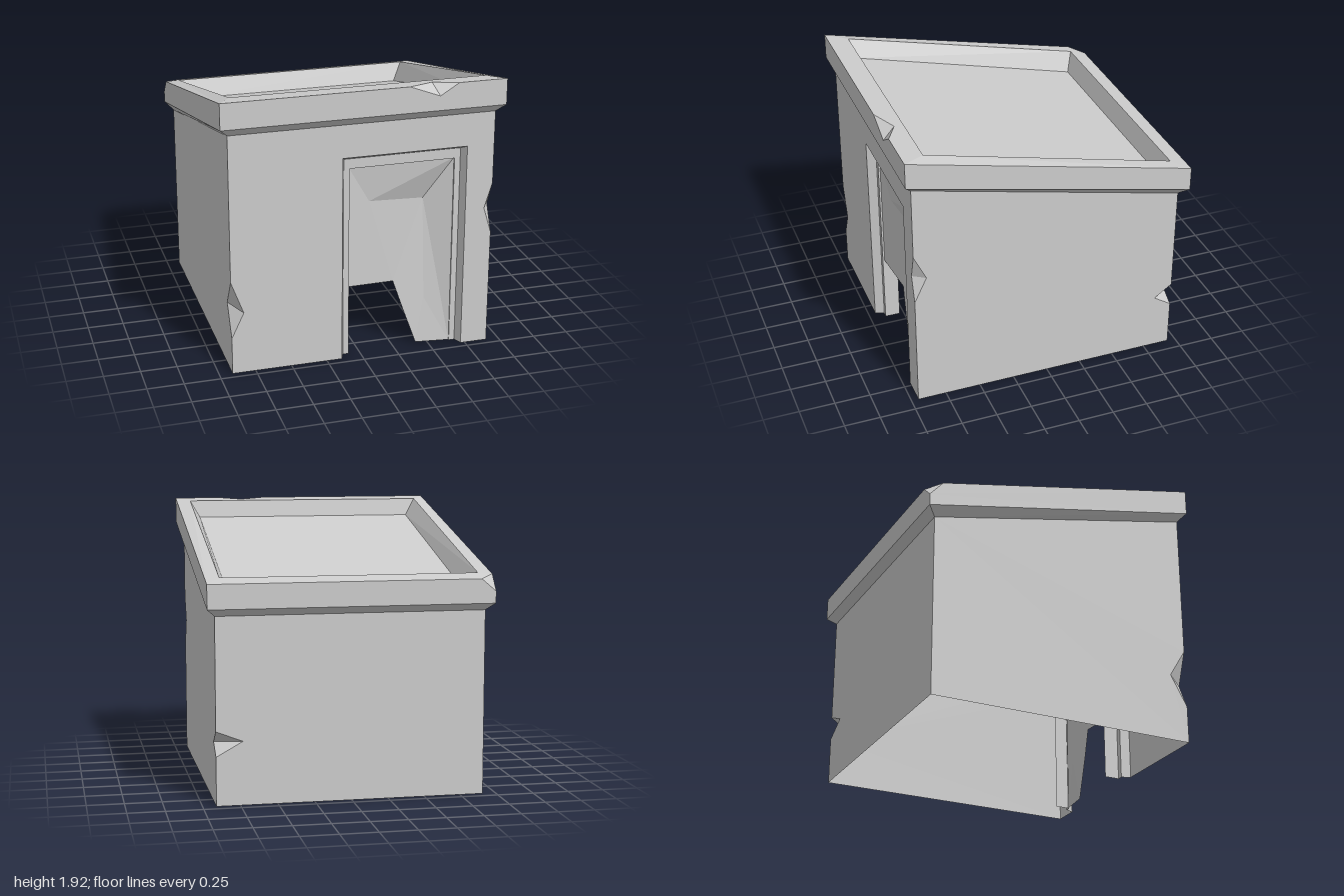
import * as THREE from 'three';

const grey = new THREE.MeshStandardMaterial({ color: 0xcccccc, flatShading: true, side: THREE.DoubleSide });

// Flat-shaded mesh from a list of polygons, corners counter-clockwise seen from outside
function polyMesh(name, polygons) {
  const out = [];
  for (const pts of polygons) {
    const v = pts.map(p => new THREE.Vector3(...p));
    const n = new THREE.Vector3();
    v.forEach((p, i) => n.add(new THREE.Vector3().crossVectors(p, v[(i + 1) % v.length])));
    // project along the dominant axis, triangulate, keep the polygon's own winding
    const a = n.toArray().map(Math.abs);
    const drop = a.indexOf(Math.max(...a));
    const flat = pts.map(p => new THREE.Vector2(...p.filter((_, k) => k !== drop)));
    for (const [i, j, k] of THREE.ShapeUtils.triangulateShape(flat, [])) {
      const t = new THREE.Vector3().subVectors(v[j], v[i]).cross(new THREE.Vector3().subVectors(v[k], v[i]));
      const order = t.dot(n) < 0 ? [i, k, j] : [i, j, k];
      for (const m of order) out.push(...pts[m]);
    }
  }
  const g = new THREE.BufferGeometry();
  g.setAttribute('position', new THREE.Float32BufferAttribute(out, 3));
  g.computeVertexNormals();
  const mesh = new THREE.Mesh(g, grey);
  mesh.name = name;
  return mesh;
}

// Four corners: front left, front right, back right, back left as seen from the front
const ring = (x, zf, yf, zb, yb) => [[-x, yf, zf], [x, yf, zf], [x, yb, zb], [-x, yb, zb]];
const band = (a, b) => a.map((p, i) => [p, a[(i + 1) % 4], b[(i + 1) % 4], b[i]]);
// Two facets of a notch broken out of a vertical edge
const notch = (top, bottom, left, right) => [[top, left, right], [bottom, right, left]];

export function createModel() {
  const model = new THREE.Group();
  const W = 0.91, F = 0.95, B = -0.94, yF = 1.69, yB = 1.26;

  // Notches in the wall corners
  const n1 = { t: [W, 1.18, F], b: [W, 0.82, F], l: [0.855, 1, F], r: [W, 1, 0.865] };
  const n2 = { t: [-W, 0.67, F], b: [-W, 0.26, F], l: [-W, 0.475, 0.83], r: [-0.825, 0.44, F] };
  const n3 = { t: [W, 0.5, B], b: [W, 0.33, B], l: [W, 0.41, -0.815], r: [0.73, 0.43, B] };
  model.add(polyMesh('cornerNotches', [n1, n2, n3].flatMap(n => notch(n.t, n.b, n.l, n.r))));

  // Walls: thin shell, open underneath
  model.add(polyMesh('frontWall', [[
    [-W, 0, F], [-0.145, 0, F], [-0.145, 1.46, F], [0.72, 1.46, F], [0.72, 0, F], [W, 0, F],
    n1.b, n1.l, n1.t, [W, yF, F], [-W, yF, F], n2.t, n2.r, n2.b]]));
  model.add(polyMesh('rightWall', [[
    [W, 0, F], [W, 0, B], n3.b, n3.l, n3.t, [W, yB, B], [W, yF, F], n1.t, n1.r, n1.b]]));
  model.add(polyMesh('backWall', [[
    [W, 0, B], [-W, 0, B], [-W, yB, B], [W, yB, B], n3.t, n3.r, n3.b]]));
  model.add(polyMesh('leftWall', [[
    [-W, 0, B], [-W, 0, F], n2.b, n2.l, n2.t, [-W, yF, F], [-W, yB, B]]]));

  // Doorway: bevel, flat stop and jamb stepping inwards
  const arch = (l, r, top, z) => [[l, 0, z], [l, top, z], [r, top, z], [r, 0, z]];
  const steps = [
    arch(-0.145, 0.72, 1.46, F), arch(-0.12, 0.695, 1.43, 0.888),
    arch(-0.08, 0.655, 1.36, 0.888), arch(-0.08, 0.655, 1.36, 0.78)];
  const frame = [];
  for (let s = 0; s < 3; s++) {
    const a = steps[s], b = steps[s + 1];
    for (let i = 0; i < 3; i++) frame.push([a[i], b[i], b[i + 1], a[i + 1]]);
  }
  model.add(polyMesh('doorFrame', frame));

  // Dented door panel with its lower corner broken away
  const d = {
    a: [-0.08, 0.5, 0.875], b: [-0.08, 1.36, 0.875], c: [0.655, 1.36, 0.875], e: [0.655, 0, 0.88],
    f: [0.42, 0, 0.85], h: [0.32, 0.28, 0.845], g: [0.25, 0.485, 0.838],
    p: [0.07, 1.1, 0.85], q: [0.47, 1.06, 0.79], r: [0.48, 0.33, 0.83]
  };
  model.add(polyMesh('doorPanel',
    ['abp', 'bpc', 'pqc', 'qec', 'qre', 'rfe', 'rhf', 'rgh', 'gaq', 'apq', 'gqr']
      .filter(t => t !== 'gaq' && t !== 'apq').concat('gap', 'gpq')
      .map(t => {
        const q = [...t].map(k => d[k]);
        // every facet faces the front
        const area = (q[1][0] - q[0][0]) * (q[2][1] - q[0][1]) - (q[1][1] - q[0][1]) * (q[2][0] - q[0][0]);
        return area < 0 ? q.reverse() : q;
      })));

  // Sloping roof: soffit bevel, fascia, rim and sunken deck
  const wallTop = ring(W, F, yF, B, yB);
  const low = ring(0.965, 1, 1.745, -1, 1.31);
  const top = ring(0.965, 1, 1.925, -1, 1.475);
  const inner = ring(0.87, 0.85, 1.91, -0.885, 1.505);
  const deck = ring(0.8, 0.83, 1.787, -0.835, 1.372);
  model.add(polyMesh('roofSoffit', band(wallTop, low)));

  // Chips in the front edge and the back corner of the rim
  const cl = [0.29, 1.925, 1], cr = [0.63, 1.925, 1], cf = [0.5, 1.845, 1], ct = [0.47, 1.916, 0.915];
  const ks = [-0.965, 1.497, -0.905], kb = [-0.865, 1.475, -1], kv = [-0.965, 1.39, -1];
  model.add(polyMesh('roofFascia', [
    [low[0], low[1], top[1], cr, cf, cl, top[0]],
    [low[1], low[2], top[2], top[1]],
    [low[2], low[3], kv, kb, top[2]],
    [low[3], low[0], top[0], ks, kv]]));
  model.add(polyMesh('roofRim', [
    [top[0], cl, ct, cr, top[1], inner[1], inner[0]],
    [top[1], top[2], inner[2], inner[1]],
    [top[2], kb, inner[3], inner[2]],
    [kb, ks, inner[3]],
    [ks, top[0], inner[0], inner[3]]]));
  model.add(polyMesh('rimChips', [[cl, cf, ct], [cf, cr, ct], [kv, ks, kb]]));
  model.add(polyMesh('parapetInside', band(inner, deck)));
  model.add(polyMesh('roofDeck', [deck]));
  return model;
}
